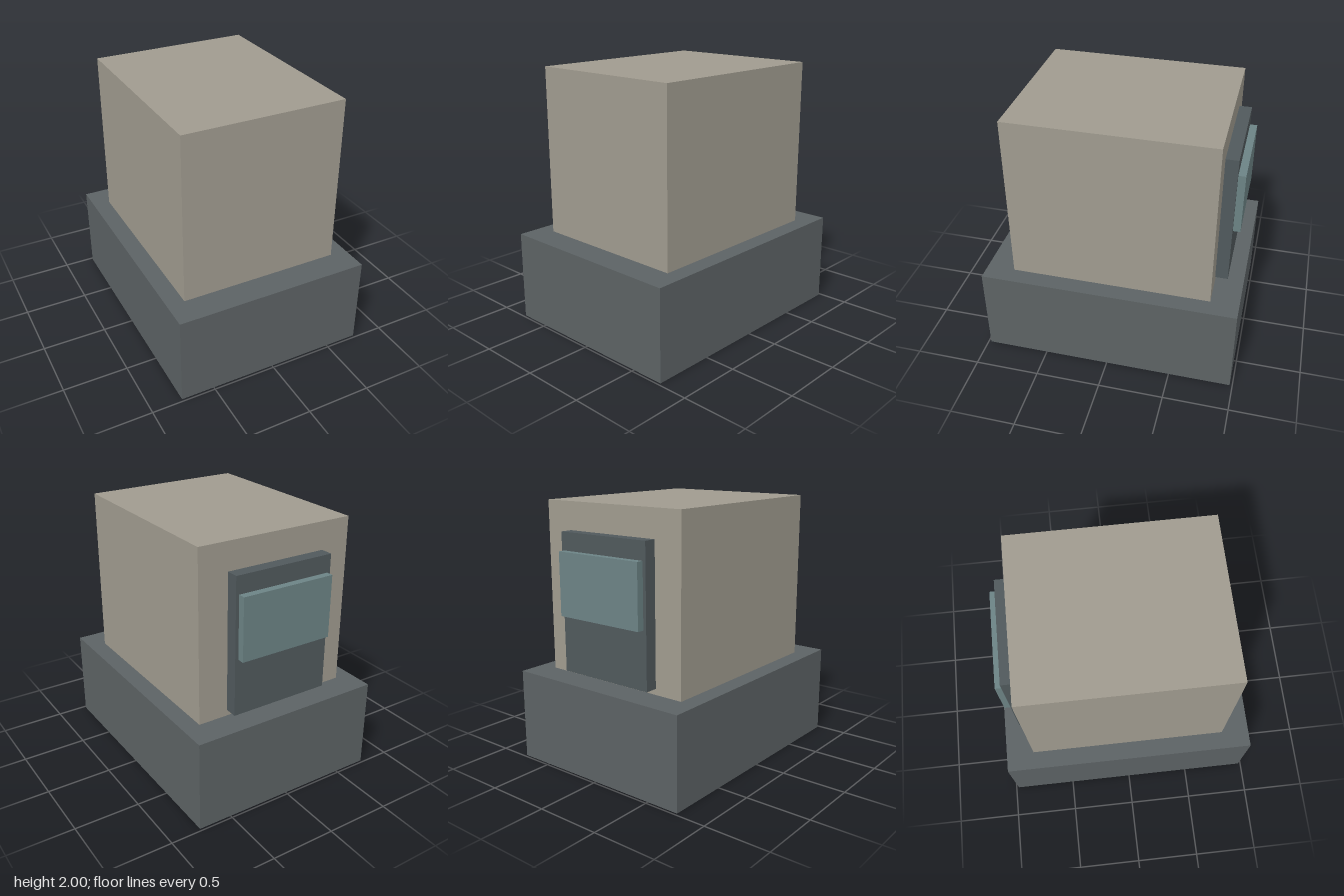
import * as THREE from 'three';

// Box given by its extents along each axis
function block(name, color, [x0, x1], [y0, y1], [z0, z1]) {
  const mesh = new THREE.Mesh(
    new THREE.BoxGeometry(x1 - x0, y1 - y0, z1 - z0),
    new THREE.MeshStandardMaterial({ color })
  );
  mesh.position.set((x0 + x1) / 2, (y0 + y1) / 2, (z0 + z1) / 2);
  mesh.name = name;
  return mesh;
}

export function createModel() {
  const model = new THREE.Group();
  model.name = 'blockOnPlinth';
  model.add(
    // Wide plinth and the tall body standing on it
    block('plinth', 0x5c6264, [-0.76, 0.76], [0, 0.7], [-0.98, 0.98]),
    block('body', 0xa09b8f, [-0.625, 0.625], [0.7, 2], [-0.765, 0.765]),
    // Raised panel on the back with a pane on its upper half
    block('backPanel', 0x50595c, [-0.4, 0.395], [0.745, 1.79], [-0.86, -0.76]),
    block('pane', 0x6c8385, [-0.375, 0.37], [1.18, 1.655], [-0.915, -0.855])
  );
  return model;
}
